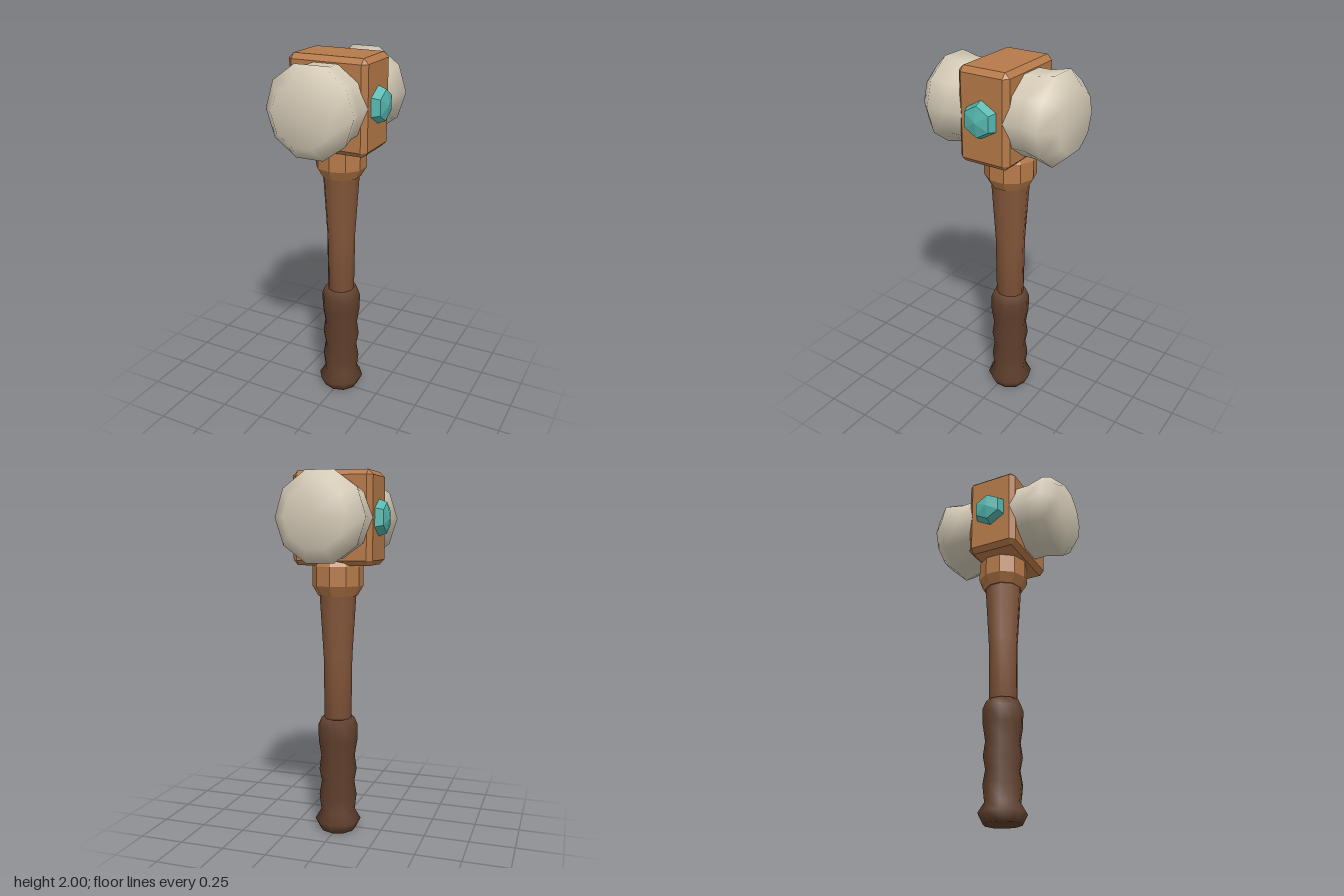
import * as THREE from 'three';
import { ConvexGeometry } from 'three/addons/geometries/ConvexGeometry.js';

const HEAD_Y = 1.756;
const HANDLE_Z = -0.027;

function material(name, color, flatShading = false) {
  const m = new THREE.MeshStandardMaterial({ color, flatShading });
  m.name = name;
  return m;
}

// Turned shape from [radius, height] pairs, listed bottom to top
function turned(profile, sides, phiStart = 0) {
  const points = profile.map(([r, y]) => new THREE.Vector2(r, y));
  return new THREE.LatheGeometry(points, sides, phiStart);
}

// Box with every edge and corner cut flat
function chamferedBox(hx, hy, hz, c) {
  const points = [];
  for (const sx of [-1, 1]) for (const sy of [-1, 1]) for (const sz of [-1, 1]) {
    points.push(new THREE.Vector3(sx * hx, sy * (hy - c), sz * (hz - c)));
    points.push(new THREE.Vector3(sx * (hx - c), sy * hy, sz * (hz - c)));
    points.push(new THREE.Vector3(sx * (hx - c), sy * (hy - c), sz * hz));
  }
  return new ConvexGeometry(points);
}

export function createModel() {
  const model = new THREE.Group();
  model.name = 'hammer';

  const stone = material('pale stone', 0xd6ccb8);
  const wood = material('light wood', 0xb67a49, true);
  const shaftWood = material('shaft wood', 0x83563a);
  const leather = material('dark leather', 0x5f3f2c);
  const crystal = material('teal crystal', 0x55b8b0, true);

  function add(name, geometry, mat, x = 0, y = 0, z = 0) {
    const mesh = new THREE.Mesh(geometry, mat);
    mesh.name = name;
    mesh.position.set(x, y, z);
    model.add(mesh);
    return mesh;
  }

  // Stone head, flared towards both striking faces
  const headGeometry = turned([
    [0, -0.4], [0.166, -0.4], [0.243, -0.32], [0.221, -0.22],
    [0.221, 0.22], [0.243, 0.32], [0.166, 0.4], [0, 0.4],
  ], 10, Math.PI / 2);
  headGeometry.rotateX(Math.PI / 2);
  add('stoneHead', headGeometry, stone, 0, HEAD_Y, 0);

  // Wooden block clasping the head
  add('headBlock', chamferedBox(0.221, 0.2475, 0.147, 0.027), wood, 0, 1.7525, 0);

  // Cut gems on both sides
  for (const side of [-1, 1]) {
    const gem = turned([[0.102, 0], [0.081, 0.055], [0, 0.073]], 6, Math.PI / 2);
    gem.rotateZ(-side * Math.PI / 2);
    add(side > 0 ? 'leftGem' : 'rightGem', gem, crystal, side * 0.21, HEAD_Y, 0);
  }

  // Collar under the block
  add('collar', turned([
    [0, 1.34], [0.108, 1.34], [0.14, 1.395], [0.14, 1.5], [0.118, 1.54], [0, 1.54],
  ], 10), wood, 0, 0, HANDLE_Z);

  // Shaft, a little deeper than wide
  const shaft = add('shaft', turned([
    [0, 0.64], [0.075, 0.645], [0.079, 1.0], [0.101, 1.36],
  ], 10), shaftWood, 0, 0, HANDLE_Z);
  shaft.scale.z = 1.05;

  // Ribbed grip with a flared pommel
  add('grip', turned([
    [0, 0], [0.102, 0], [0.13, 0.055], [0.096, 0.11], [0.106, 0.2], [0.093, 0.28],
    [0.106, 0.35], [0.095, 0.43], [0.109, 0.52], [0.111, 0.61], [0.092, 0.655], [0, 0.655],
  ], 10), leather, 0, 0, HANDLE_Z);

  return model;
}
